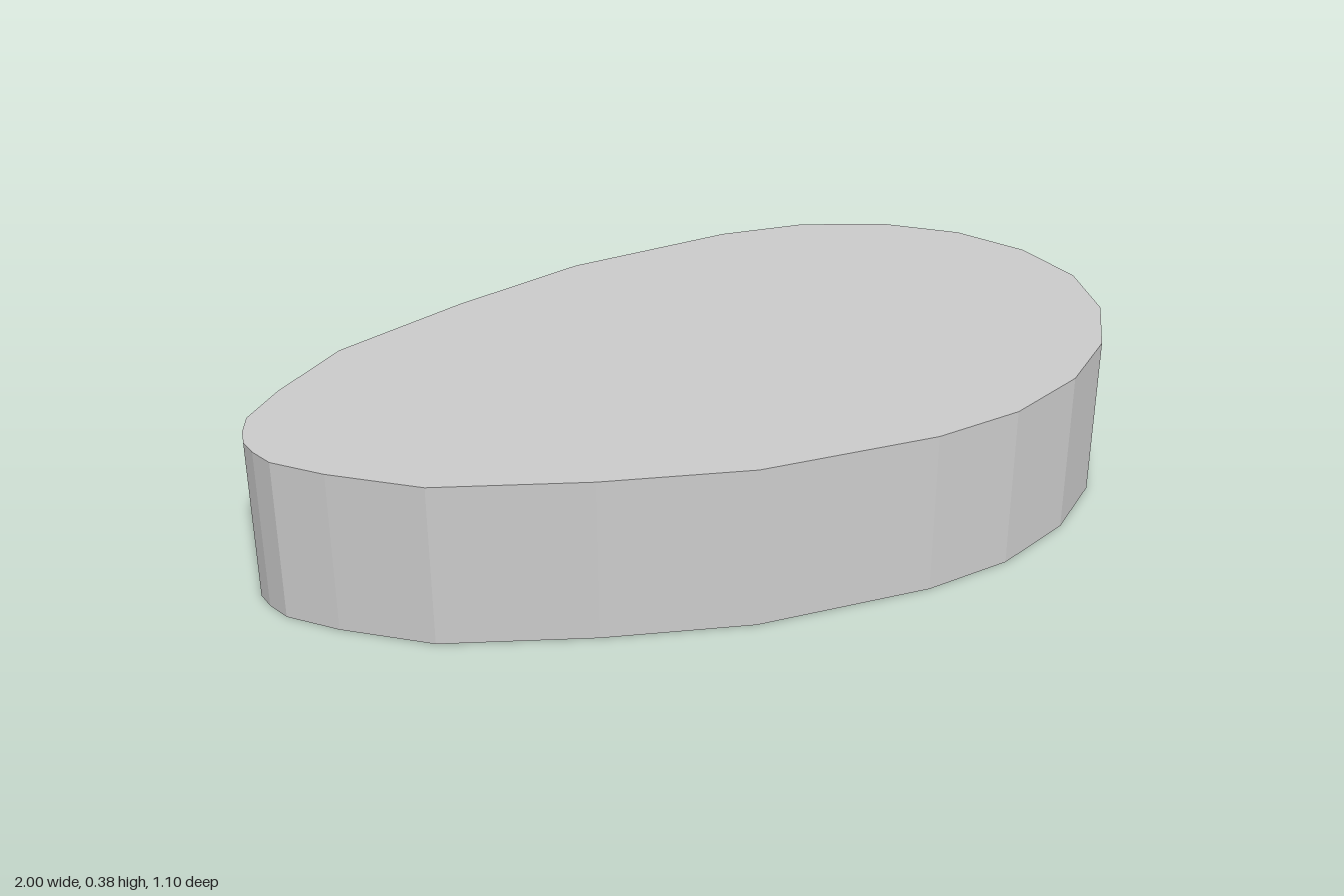
import * as THREE from 'three';

export function createModel() {
  const group = new THREE.Group();
  group.name = 'eggShapedSlab';

  // Half outline from the narrow tip to the blunt end, as [x, half width]
  const half = [
    [-1, 0], [-0.992, 0.045], [-0.97, 0.1], [-0.88, 0.19], [-0.71, 0.32], [-0.39, 0.435],
    [-0.07, 0.522], [0.33, 0.548], [0.535, 0.522], [0.725, 0.443], [0.87, 0.325], [0.965, 0.172], [1, 0],
  ];

  // Mirror it across the long axis to close the outline
  const mirrored = half.slice(1, -1).reverse().map(([x, w]) => [x, -w]);
  const outline = [...half, ...mirrored].map(([x, w]) => new THREE.Vector2(x, w));

  // Raise the outline into a flat-sided slab standing on the ground
  const geometry = new THREE.ExtrudeGeometry(new THREE.Shape(outline), { depth: 0.38, bevelEnabled: false });
  geometry.rotateX(-Math.PI / 2);

  const slab = new THREE.Mesh(geometry, new THREE.MeshStandardMaterial({ color: 0xcccccc, flatShading: true }));
  slab.name = 'slab';
  group.add(slab);
  return group;
}
